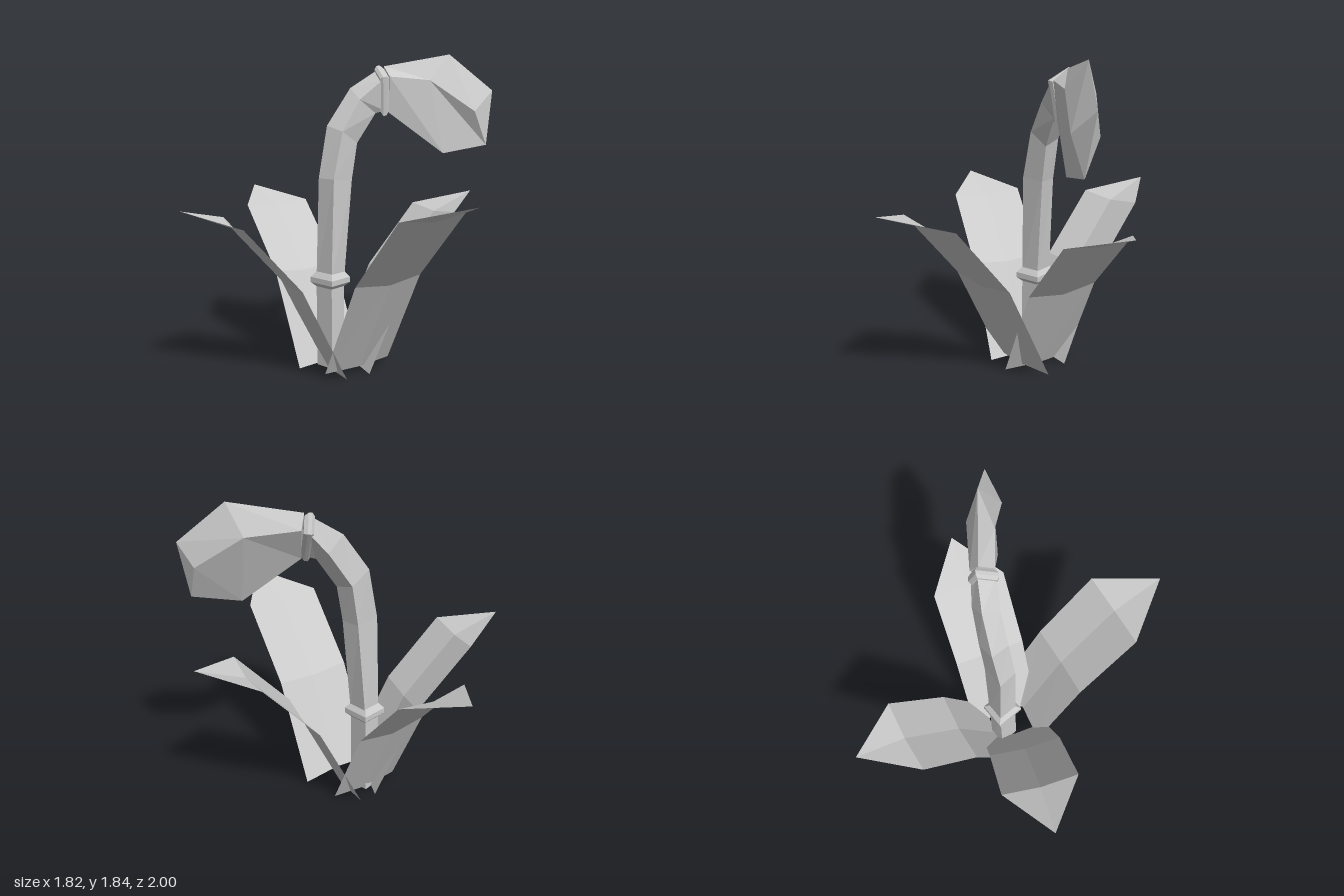
import * as THREE from 'three';

const V = (p) => new THREE.Vector3(...p);

// Skins a list of cross-sections; closed sections also get end caps.
function loft(name, sections, closed = true) {
  const pos = [];
  const tri = (a, b, c) => {
    const area = b.clone().sub(a).cross(c.clone().sub(a)).length();
    if (area > 1e-7) for (const p of [a, b, c]) pos.push(p.x, p.y, p.z);
  };
  const n = sections[0].length;
  for (let i = 0; i < sections.length - 1; i++) {
    const r = sections[i], s = sections[i + 1];
    for (let k = 0; k < (closed ? n : n - 1); k++) {
      const j = (k + 1) % n;
      tri(r[k], r[j], s[j]);
      tri(r[k], s[j], s[k]);
    }
  }
  if (closed) {
    const a = sections[0], b = sections[sections.length - 1];
    for (let k = 1; k < n - 1; k++) {
      tri(a[0], a[k + 1], a[k]);
      tri(b[0], b[k], b[k + 1]);
    }
  }
  const geo = new THREE.BufferGeometry();
  geo.setAttribute('position', new THREE.Float32BufferAttribute(pos, 3));
  geo.computeVertexNormals();
  const mesh = new THREE.Mesh(geo, new THREE.MeshStandardMaterial({
    color: 0xcccccc, flatShading: true, side: closed ? THREE.FrontSide : THREE.DoubleSide,
  }));
  mesh.name = name;
  return mesh;
}

// Leaf: a creased strip from base to pointed tip; spine points are [x, y, z].
function leaf(name, spine, width) {
  const tip = V(spine[3]);
  const out = tip.clone().sub(V(spine[2])).setY(0).normalize();
  const side = new THREE.Vector3(out.z, 0, -out.x);
  const rows = spine.map((p, i) => {
    const c = V(p);
    if (i === 3) return [c, c, c];
    const crease = c.clone().addScaledVector(out, i === 0 ? 0.025 : 0.01);
    if (i > 0) crease.y -= 0.025;
    return [c.clone().addScaledVector(side, -width / 2), crease, c.clone().addScaledVector(side, width / 2)];
  });
  return loft(name, rows, false);
}

// Collar: a bevelled band around a section, extruded along an axis.
function collar(name, section, axis, grow) {
  const mid = section.reduce((m, p) => m.add(p), new THREE.Vector3()).divideScalar(section.length);
  const profile = [[-0.045, 1], [-0.02, grow], [0.012, grow], [0.045, 1]];
  return loft(name, profile.map(([t, s]) => section.map((p) =>
    p.clone().sub(mid).multiplyScalar(s).add(mid).addScaledVector(axis, t))));
}

export function createModel() {
  const plant = new THREE.Group();
  plant.name = 'plant';

  // Four leaves around the base
  plant.add(
    leaf('frontLeaf', [[0.02, 0.03, 0.07], [0.01, 0.6, 0.35], [0.003, 1.0, 0.69], [0, 1.09, 1.0]], 0.475),
    leaf('backLeaf', [[-0.03, 0.01, -0.13], [-0.018, 0.55, -0.39], [-0.01, 0.915, -0.71], [0, 1.0, -1.0]], 0.44),
    leaf('leftLeaf', [[0.05, 0.01, -0.03], [0.305, 0.55, 0.015], [0.625, 0.915, 0.07], [0.91, 1.0, 0.12]], 0.445),
    leaf('rightLeaf', [[-0.08, 0.01, -0.04], [-0.33, 0.55, -0.115], [-0.635, 0.915, -0.21], [-0.91, 1.0, -0.29]], 0.44),
  );

  // Stem: four-sided, rising and bending over with a slight twist
  const stem = [
    [[-0.11, 0, -0.15], [-0.09, 0, -0.03], [0.01, 0, -0.05], [-0.01, 0, -0.17]],
    [[-0.11, 0.53, -0.155], [-0.09, 0.53, -0.035], [0.02, 0.53, -0.055], [0, 0.53, -0.17]],
    [[-0.1, 1.13, -0.14], [-0.075, 1.13, -0.03], [0.07, 1.12, -0.045], [0.045, 1.12, -0.155]],
    [[-0.035, 1.43, -0.145], [-0.01, 1.4, -0.03], [0.105, 1.33, -0.04], [0.085, 1.36, -0.155]],
    [[0.11, 1.645, -0.11], [0.1, 1.58, -0.01], [0.21, 1.5, 0], [0.21, 1.56, -0.115]],
    [[0.27, 1.755, -0.04], [0.235, 1.7, 0.05], [0.255, 1.515, 0.03], [0.295, 1.67, -0.065]],
  ].map((s) => s.map(V));
  plant.add(loft('stem', stem));

  // Collars at the foot and under the bud
  plant.add(
    collar('lowerCollar', stem[1], new THREE.Vector3(0, 1, 0), 1.42),
    collar('upperCollar', stem[5], new THREE.Vector3(0.55, 0.08, 0.25), 1.2),
  );

  // Bud: a drooping flattened pod with a blunt end
  const bud = [
    [[0.29, 1.77, -0.02], [0.265, 1.71, 0.06], [0.275, 1.505, 0.04], [0.33, 1.69, -0.05]],
    [[0.63, 1.84, 0.18], [0.47, 1.69, 0.18], [0.54, 1.265, 0.23], [0.59, 1.67, 0.08]],
    [[0.84, 1.63, 0.335], [0.68, 1.51, 0.345], [0.78, 1.31, 0.35], [0.79, 1.5, 0.26]],
  ].map((s) => s.map(V));
  plant.add(loft('bud', bud));

  return plant;
}
